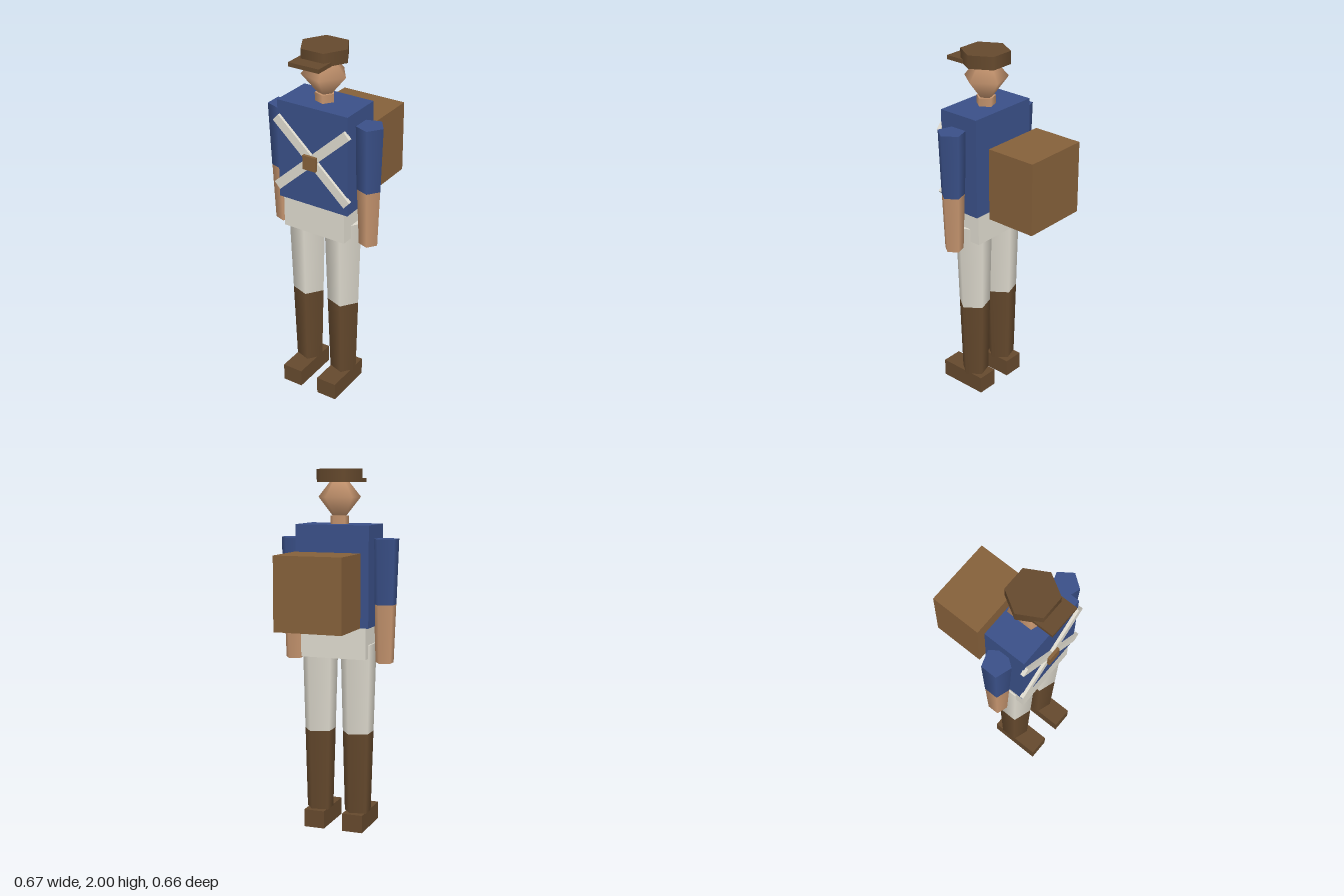
import * as THREE from 'three';

const mat = (name, hex) => {
  const m = new THREE.MeshStandardMaterial({ color: hex });
  m.name = name;
  return m;
};

export function createModel() {
  const blue = mat('blue cloth', 0x3a5088);
  const cream = mat('cream cloth', 0xdedace);
  const skin = mat('skin', 0xc6956f);
  const darkBrown = mat('dark brown leather', 0x65492d);
  const tan = mat('tan leather', 0x85603a);

  const model = new THREE.Group();
  model.name = 'soldier';
  const CX = -0.008; // body axis
  const CZ = 0.142;

  const add = (name, geometry, material, x, y, z) => {
    const mesh = new THREE.Mesh(geometry, material);
    mesh.name = name;
    mesh.position.set(x, y, z);
    model.add(mesh);
    return mesh;
  };
  // box given by its limits on each axis
  const box = (name, material, [x0, x1], [y0, y1], [z0, z1]) =>
    add(name, new THREE.BoxGeometry(x1 - x0, y1 - y0, z1 - z0), material,
      (x0 + x1) / 2, (y0 + y1) / 2, (z0 + z1) / 2);
  // upright tapered prism with one corner pointing to +x
  const prism = (name, material, x, rTop, rBottom, y0, y1, sides = 5) =>
    add(name, new THREE.CylinderGeometry(rTop, rBottom, y1 - y0, sides, 1, false, Math.PI / 2),
      material, x, (y0 + y1) / 2, CZ);

  // torso and hips
  box('torso', blue, [-0.218, 0.202], [1.155, 1.705], [0.022, 0.265]);
  box('hips', cream, [-0.198, 0.176], [0.98, 1.155], [0.036, 0.256]);

  // limbs, one set per side
  for (const [side, s] of [['left', 1], ['right', -1]]) {
    const legX = CX + s * 0.113;
    prism(side + 'Thigh', cream, legX, 0.105, 0.0905, 0.555, 1.055);
    prism(side + 'Boot', darkBrown, legX, 0.0905, 0.077, 0.095, 0.555);
    box(side + 'Foot', darkBrown, [legX - 0.059, legX + 0.059], [0, 0.1], [0.045, 0.33]);

    const armX = CX + s * 0.265;
    prism(side + 'Sleeve', blue, armX, 0.077, 0.065, 1.275, 1.63);
    prism(side + 'Forearm', skin, armX, 0.064, 0.052, 0.955, 1.275);
  }

  // neck and head
  prism('neck', skin, CX, 0.053, 0.053, 1.70, 1.75);
  const profile = [[0, -0.108], [0.04, -0.1], [0.122, 0], [0.04, 0.1], [0, 0.108]]
    .map(([r, y]) => new THREE.Vector2(r, y));
  add('head', new THREE.LatheGeometry(profile, 5, Math.PI / 2), skin, CX, 1.85, CZ);

  // cap with brim
  prism('cap', darkBrown, CX, 0.132, 0.132, 1.93, 2, 6);
  box('capBrim', darkBrown, [-0.098, 0.08], [1.928, 1.95], [0.2, 0.33]);

  // crossed chest straps and buckle
  for (const s of [-1, 1]) {
    const strap = add('chestStrap', new THREE.BoxGeometry(0.577, 0.05, 0.021), cream, CX, 1.418, 0.2705);
    strap.rotation.z = s * 0.74;
    strap.position.z += s * 0.0004;
  }
  box('buckle', tan, [-0.048, 0.03], [1.372, 1.45], [0.272, 0.297]);

  // backpack
  box('backpack', tan, [-0.196, 0.18], [1.165, 1.562], [-0.332, -0.045]);

  return model;
}
